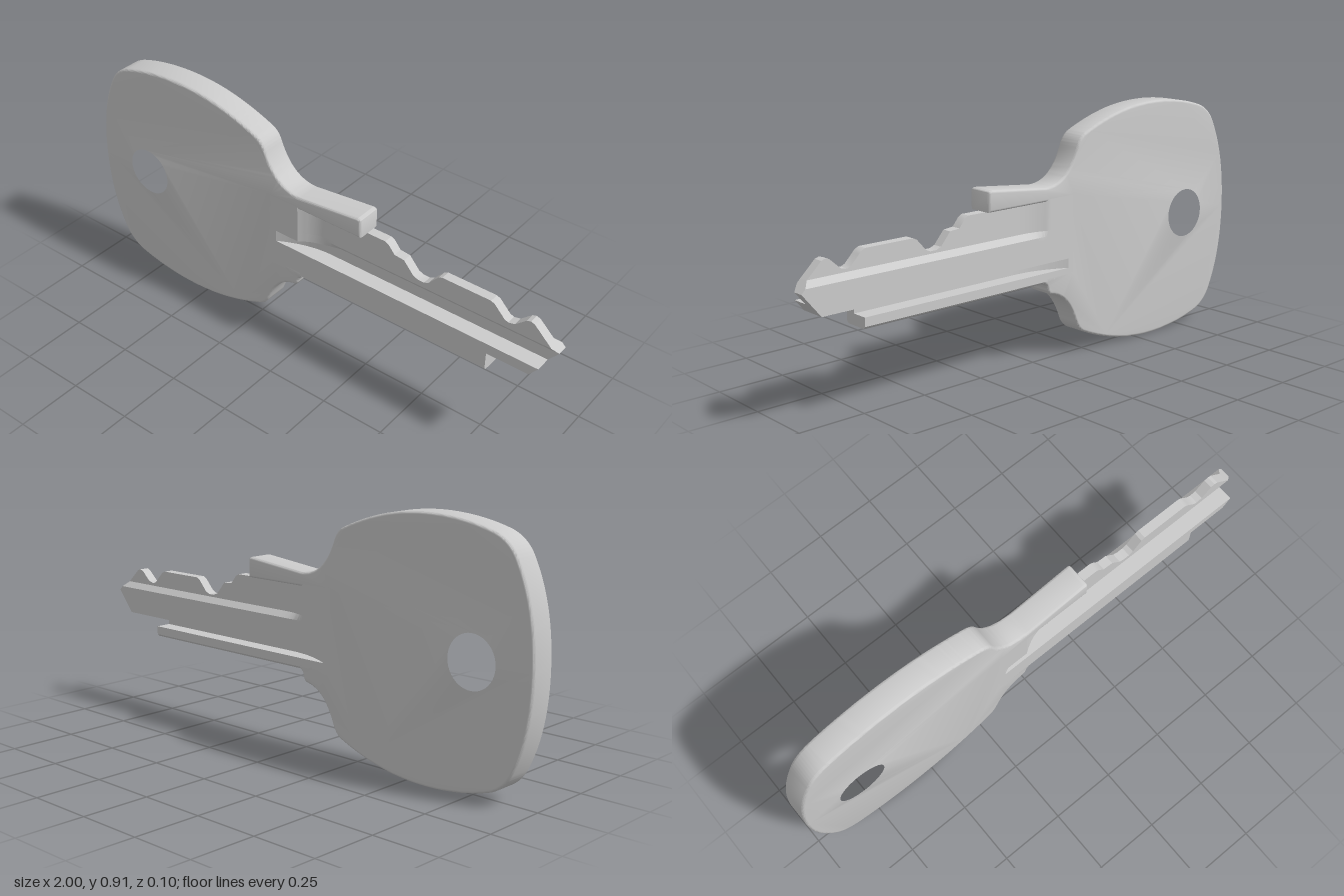
import * as THREE from 'three';
import { mergeGeometries, toCreasedNormals } from 'three/addons/utils/BufferGeometryUtils.js';

const T = 0.05; // half thickness

// Run-out left by a round cutter: 0 before x0, 1 after x1
const ramp = (x, x0, x1) => {
  const t = THREE.MathUtils.clamp((x1 - x) / (x1 - x0), 0, 1);
  return 1 - t * t;
};
const frontRecess = x => T - 0.042 * ramp(x, -0.03, 0.08);
const backRecess = x => -T + 0.022 * ramp(x, -0.03, 0.08);
const frontGroove = x => T - 0.06 * ramp(x, -0.13, 0.08);
const backGroove = x => -T + 0.06 * ramp(x, -0.13, 0.08);
const slantFoot = x => frontRecess(x) - 0.018 * THREE.MathUtils.clamp((x - 0.05) / 0.07, 0, 1);

// Height of the cut teeth along the blade
const teeth = [[-0.16, 0.62], [0.24, 0.62], [0.245, 0.61], [0.32, 0.61], [0.335, 0.602], [0.36, 0.572],
  [0.4, 0.568], [0.44, 0.522], [0.46, 0.514], [0.485, 0.514], [0.503, 0.522], [0.54, 0.563], [0.555, 0.57],
  [0.745, 0.57], [0.76, 0.563], [0.8, 0.522], [0.815, 0.515], [0.84, 0.521], [0.88, 0.557], [0.895, 0.562],
  [0.91, 0.557], [0.965, 0.505], [1, 0.505]];
function toothTop(x) {
  const i = Math.max(1, teeth.findIndex(p => p[0] >= x));
  const [a, b] = [teeth[i - 1], teeth[i]];
  return a[1] + (b[1] - a[1]) * (x - a[0]) / (b[0] - a[0]);
}
// Pointed end of the blade
const tipX = y => 1 - (y < 0.47 ? 0.82 * (0.47 - y) : y - 0.47);

const stations = teeth.map(p => p[0]);
for (let x = -0.13; x < 0.13; x += 0.01) stations.push(+x.toFixed(3));
stations.push(0.77);
stations.sort((a, b) => a - b);

// Loft a [y, z] cross-section along x
function loft(section, endX) {
  const xs = stations.filter(x => x <= endX);
  const pos = [], idx = [];
  const n = section(0).length;
  for (const x of xs) for (const [y, z] of section(x)) pos.push(Math.min(x, tipX(y)), y, z);
  for (let i = 0; i < xs.length - 1; i++) {
    for (let j = 0; j < n; j++) {
      const a = i * n + j, b = i * n + (j + 1) % n;
      idx.push(a, b, a + n, b, b + n, a + n);
    }
  }
  const e = (xs.length - 1) * n;
  for (let j = 1; j < n - 1; j++) idx.push(0, j + 1, j, e, e + j, e + j + 1);
  const g = new THREE.BufferGeometry();
  g.setAttribute('position', new THREE.Float32BufferAttribute(pos, 3));
  g.setIndex(idx);
  return toCreasedNormals(g, 0.4);
}
const strip = (y0, y1, back, front) => x => [[y0, back(x)], [y1, back(x)], [y1, front(x)], [y0, front(x)]];
const B = () => -T, F = () => T;

function bowShape() {
  const s = new THREE.Shape();
  s.moveTo(-1, 0.46);
  s.bezierCurveTo(-1, 0.6, -0.975, 0.71, -0.93, 0.8);
  s.quadraticCurveTo(-0.9, 0.865, -0.83, 0.885);
  s.bezierCurveTo(-0.68, 0.93, -0.5, 0.93, -0.36, 0.89);
  s.quadraticCurveTo(-0.28, 0.868, -0.21, 0.835);
  s.quadraticCurveTo(-0.185, 0.82, -0.173, 0.785);
  s.bezierCurveTo(-0.14, 0.7, -0.09, 0.66, -0.02, 0.661);
  // collar ledge above the blade
  s.lineTo(0.225, 0.686);
  s.quadraticCurveTo(0.245, 0.688, 0.245, 0.672);
  s.lineTo(0.245, 0.61);
  // slot that receives the blade
  s.lineTo(-0.145, 0.61);
  s.lineTo(-0.145, 0.34);
  s.lineTo(-0.01, 0.34);
  s.lineTo(-0.01, 0.312);
  // small shoulder under the blade
  s.quadraticCurveTo(-0.028, 0.305, -0.031, 0.285);
  s.quadraticCurveTo(-0.033, 0.266, -0.055, 0.263);
  s.bezierCurveTo(-0.11, 0.25, -0.145, 0.21, -0.173, 0.138);
  s.quadraticCurveTo(-0.185, 0.105, -0.21, 0.09);
  s.quadraticCurveTo(-0.28, 0.057, -0.36, 0.035);
  s.bezierCurveTo(-0.5, -0.005, -0.68, -0.005, -0.83, 0.04);
  s.quadraticCurveTo(-0.9, 0.06, -0.93, 0.12);
  s.bezierCurveTo(-0.975, 0.21, -1, 0.32, -1, 0.46);
  const hole = new THREE.Path();
  hole.absarc(-0.765, 0.46, 0.103, 0, Math.PI * 2, true);
  s.holes.push(hole);
  return s;
}

export function createModel() {
  const group = new THREE.Group();
  const material = new THREE.MeshStandardMaterial({ color: 0xcccccc });
  const add = (name, geometry) => {
    const mesh = new THREE.Mesh(geometry, material);
    mesh.name = name;
    group.add(mesh);
  };

  // Flat head with rounded rim and ring hole
  const bevel = 0.009;
  const bow = new THREE.ExtrudeGeometry(bowShape(), {
    depth: 2 * (T - bevel), bevelEnabled: true, bevelSize: bevel, bevelThickness: bevel,
    bevelOffset: -bevel, bevelSegments: 3, curveSegments: 20,
  });
  bow.translate(0, 0, -T + bevel);
  add('bow', toCreasedNormals(bow, 0.6));

  // Lower rail with the back groove above it
  const c = 0.008;
  const rail = () => [[0.31, -T + c], [0.31 + c, -T], [0.35, -T], [0.35, T], [0.31 + c, T], [0.31, T - c]];
  add('lowerRail', mergeGeometries([loft(rail, 0.77), loft(strip(0.35, 0.385, backGroove, F), 0.77)]));

  // Middle rib, with the front groove above it
  add('middleRib', mergeGeometries([
    loft(strip(0.385, 0.425, B, F), 1),
    loft(strip(0.425, 0.47, B, frontGroove), 1),
  ]));

  // Slanted web joining the rib to the toothed edge
  add('slantedWeb', loft(x => [
    [0.47, -T], [0.485, -T], [0.505, backRecess(x)], [0.505, frontRecess(x)],
    [0.492, frontRecess(x)], [0.47, slantFoot(x)],
  ], 1));

  // Thin upper blade with the teeth
  add('toothedBlade', loft(x => strip(0.505, toothTop(x), backRecess, frontRecess)(x), 1));

  return group;
}
